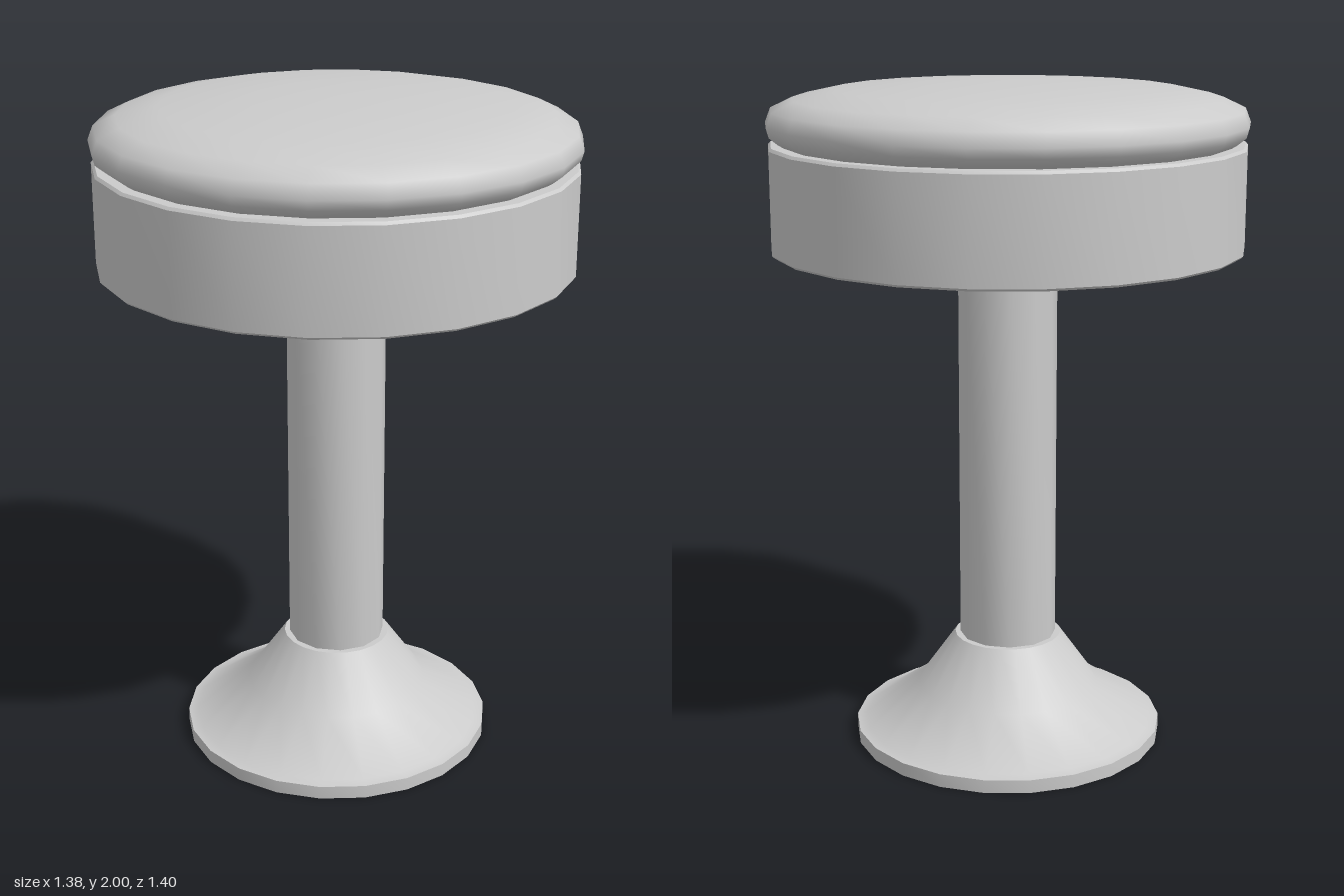
import * as THREE from 'three';
import { toCreasedNormals } from 'three/addons/utils/BufferGeometryUtils.js';

const material = new THREE.MeshStandardMaterial({ color: 0xcccccc });

// Revolves an [r, y] profile; edges sharper than the crease angle stay hard.
function turned(name, profile, sides, creaseDegrees = 35) {
  const points = profile.map(([r, y]) => new THREE.Vector2(r, y));
  const lathe = new THREE.LatheGeometry(points, sides);
  const geometry = toCreasedNormals(lathe, THREE.MathUtils.degToRad(creaseDegrees));
  const mesh = new THREE.Mesh(geometry, material);
  mesh.name = name;
  return mesh;
}

export function createModel() {
  const stool = new THREE.Group();
  stool.name = 'stool';

  // Flared foot: a hollow shell, from the inner wall round the rim to the collar
  stool.add(turned('base', [
    [0.12, 0.27], [0.25, 0.14], [0.45, 0.02], [0.45, 0],
    [0.47, 0], [0.47, 0.04], [0.44, 0.045], [0.275, 0.16], [0.162, 0.32], [0.12, 0.32],
  ], 22));

  // Column
  stool.add(turned('column', [[0, 0.26], [0.146, 0.26], [0.146, 1.53], [0, 1.53]], 12));

  // Band under the cushion, with slightly eased edges
  stool.add(turned('seatBand', [
    [0, 1.515], [0.685, 1.515], [0.692, 1.522], [0.692, 1.815], [0.685, 1.823], [0, 1.823],
  ], 22));

  // Domed cushion
  stool.add(turned('cushion', [
    [0, 1.82], [0.645, 1.82], [0.665, 1.832], [0.69, 1.852], [0.698, 1.88],
    [0.682, 1.92], [0.62, 1.95], [0.5, 1.976], [0.25, 1.99], [0, 2],
  ], 22, 60));

  return stool;
}
